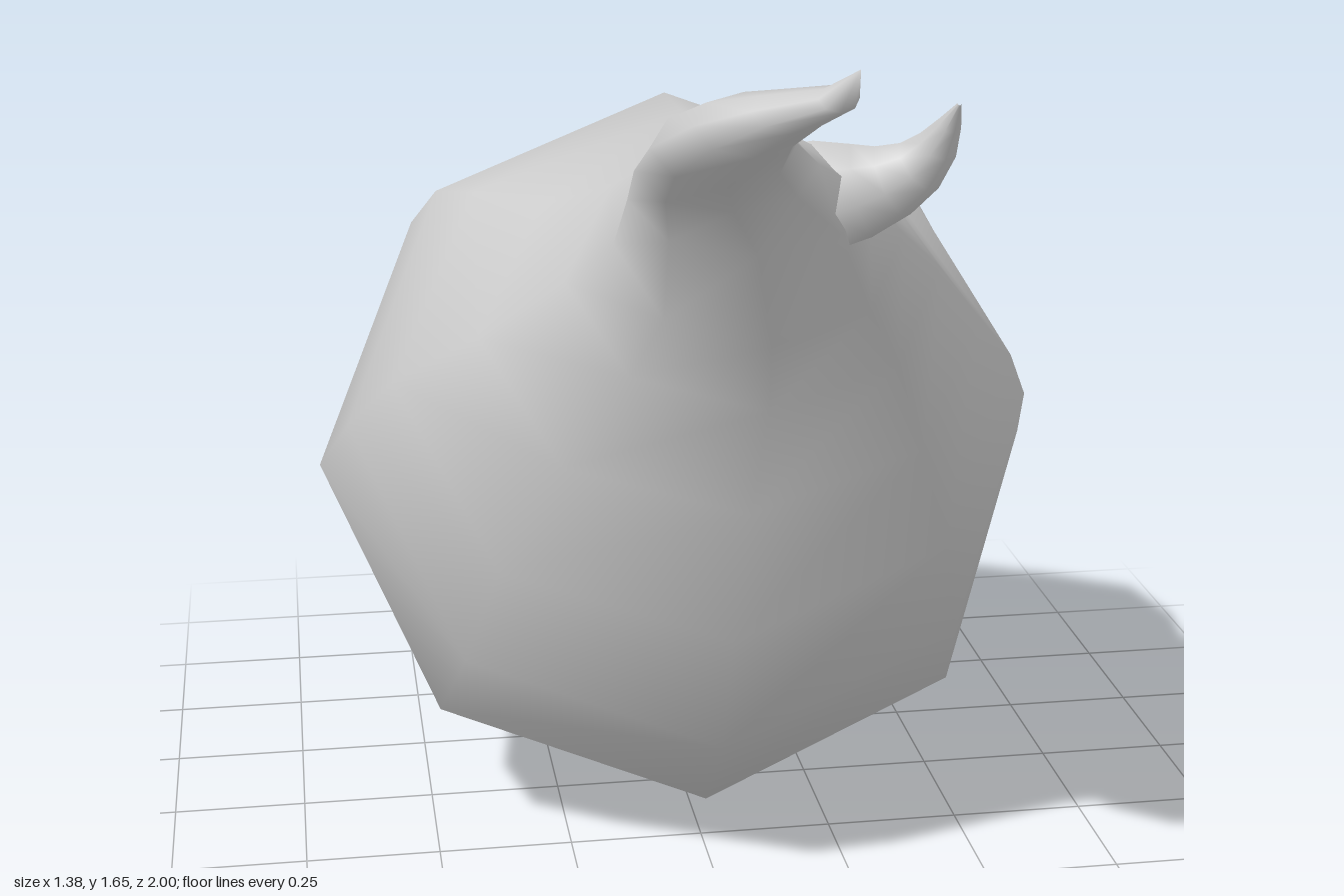
import * as THREE from 'three';
import { mergeVertices } from 'three/addons/utils/BufferGeometryUtils.js';

const SIDES = 8;
const material = new THREE.MeshStandardMaterial({ color: 0xcccccc });

// Skin a smooth surface over rings: [topZ, topY, bottomZ, bottomY, minX, maxX]
function loft(rings) {
  const pos = [], index = [];
  rings.forEach(([tz, ty, bz, by, x0, x1], i) => {
    for (let j = 0; j < SIDES; j++) {
      const a = (j / SIDES) * Math.PI * 2, c = Math.cos(a) / 2, s = Math.sin(a) / 2;
      pos.push((x0 + x1) / 2 + s * (x1 - x0), (ty + by) / 2 + c * (ty - by), (tz + bz) / 2 + c * (tz - bz));
      if (i === rings.length - 1) continue;
      const p = i * SIDES + j, q = i * SIDES + (j + 1) % SIDES;
      index.push(p, p + SIDES, q, q, p + SIDES, q + SIDES);
    }
  });
  const geo = new THREE.BufferGeometry();
  geo.setAttribute('position', new THREE.Float32BufferAttribute(pos, 3));
  geo.setIndex(index);
  const merged = mergeVertices(geo, 1e-4);
  merged.computeVertexNormals();
  return merged;
}

// Tube along points whose radius follows the given list
function taperedTube(points, radii) {
  const curve = new THREE.CatmullRomCurve3(points.map(p => new THREE.Vector3(...p)));
  const n = 8, geo = new THREE.TubeGeometry(curve, n, 1, SIDES);
  const pos = geo.attributes.position, v = new THREE.Vector3();
  for (let i = 0; i <= n; i++) {
    const centre = curve.getPointAt(i / n);
    const t = (i / n) * (radii.length - 1), k = Math.min(Math.floor(t), radii.length - 2);
    const r = THREE.MathUtils.lerp(radii[k], radii[k + 1], t - k);
    for (let j = 0; j <= SIDES; j++) {
      const id = i * (SIDES + 1) + j;
      v.fromBufferAttribute(pos, id).sub(centre).multiplyScalar(r).add(centre);
      pos.setXYZ(id, v.x, v.y, v.z);
    }
  }
  geo.deleteAttribute('uv');
  geo.deleteAttribute('normal');
  const merged = mergeVertices(geo, 1e-4);
  merged.computeVertexNormals();
  return merged;
}

export function createModel() {
  const group = new THREE.Group();
  const add = (name, geo) => {
    const mesh = new THREE.Mesh(geo, material);
    mesh.name = name;
    group.add(mesh);
  };

  // Round back of the bulb: sphere rings around an axis tilted forward and up
  const tilt = THREE.MathUtils.degToRad(33.75), R = 0.69, cz = -0.32, cy = 0.685;
  const rings = [];
  for (let k = -4; k <= 1; k++) {
    const lat = (k * Math.PI) / 8, r = R * Math.cos(lat), d = R * Math.sin(lat);
    const z = cz + d * Math.cos(tilt), y = cy + d * Math.sin(tilt);
    const dz = -r * Math.sin(tilt), dy = r * Math.cos(tilt);
    rings.push([z + dz, y + dy, z - dz, y - dy, -r, r]);
  }
  // Shoulder, neck and the large curved tip
  rings.push(
    [-0.22, 1.37, 0.36, 0.55, -0.56, 0.56],
    [0.01, 1.35, 0.41, 0.8, -0.42, 0.46],
    [0.17, 1.39, 0.47, 1.0, -0.28, 0.36],
    [0.31, 1.435, 0.54, 1.13, -0.21, 0.27],
    [0.44, 1.455, 0.61, 1.3, -0.2, 0.19],
    [0.55, 1.5, 0.67, 1.385, -0.2, 0.09],
    [0.66, 1.55, 0.76, 1.445, -0.19, 0.035],
    [0.77, 1.59, 0.86, 1.51, -0.14, 0.025],
    [0.86, 1.61, 0.91, 1.555, -0.07, 0.05],
    [0.92, 1.625, 0.95, 1.59, 0.02, 0.08],
    [1.0, 1.66, 1.0, 1.66, 0.067, 0.067],
  );
  add('bulbWithLargeTip', loft(rings));

  // Small side tip that hooks upward from the neck
  add('smallTip', taperedTube(
    [[0.04, 1.33, 0.47], [0.13, 1.365, 0.5], [0.21, 1.39, 0.53], [0.265, 1.43, 0.565], [0.289, 1.48, 0.6], [0.298, 1.54, 0.655]],
    [0.11, 0.105, 0.075, 0.05, 0.028, 0.003],
  ));
  return group;
}
